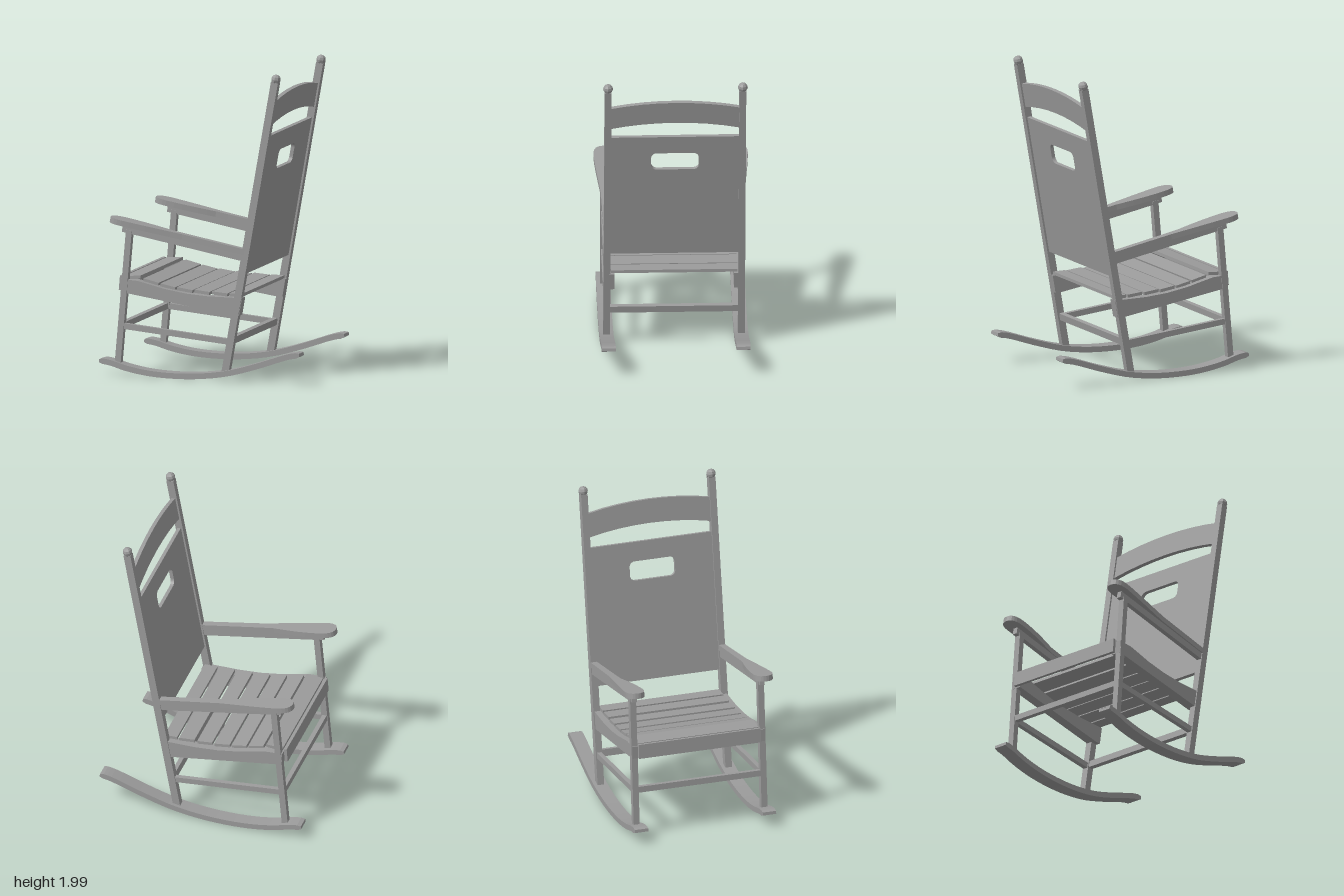
import * as THREE from 'three';

const material = new THREE.MeshStandardMaterial({ color: 0x9b9b9b, flatShading: true });

function add(parent, name, geometry) {
  const mesh = new THREE.Mesh(geometry, material);
  mesh.name = name;
  parent.add(mesh);
  return mesh;
}

const toShape = (pts) => new THREE.Shape(pts.map(([x, y]) => new THREE.Vector2(x, y)));

// Side profile in x/y, extruded to the given width and centred on z
function profile(parent, name, pts, width, z) {
  const geo = new THREE.ExtrudeGeometry(toShape(pts), { depth: width, bevelEnabled: false });
  geo.translate(0, 0, z - width / 2);
  return add(parent, name, geo);
}

// Straight bar between two x/y points, with its thickness and z width
function bar(parent, name, [x0, y0], [x1, y1], thick, width, z = 0) {
  const geo = new THREE.BoxGeometry(Math.hypot(x1 - x0, y1 - y0), thick, width);
  const mesh = add(parent, name, geo);
  mesh.position.set((x0 + x1) / 2, (y0 + y1) / 2, z);
  mesh.rotation.z = Math.atan2(y1 - y0, x1 - x0);
  return mesh;
}

// Curved runner: centre line offset to both sides
function rockerOutline() {
  const curve = new THREE.CatmullRomCurve3([
    [-0.677, 0.096], [-0.6, 0.085], [-0.5, 0.057], [-0.36, 0.033], [-0.2, 0.023], [0, 0.03],
    [0.2, 0.06], [0.4, 0.118], [0.6, 0.186], [0.677, 0.201],
  ].map(([x, y]) => new THREE.Vector3(x, y, 0)));
  const top = [], bottom = [], n = 28;
  for (let i = 0; i <= n; i++) {
    const p = curve.getPoint(i / n), t = curve.getTangent(i / n);
    const h = i === 0 || i === n ? 0.01 : 0.018;
    top.push([p.x - t.y * h, p.y + t.x * h]);
    bottom.push([p.x + t.y * h, p.y - t.x * h]);
  }
  return [...bottom, ...top.reverse()];
}

// Paddle-shaped armrest: plan outline laid flat, then sloped back
function armrest(parent, side) {
  const s = new THREE.Shape();
  s.moveTo(0.925, 0.022);
  s.lineTo(0.5, 0.028);
  s.lineTo(0.42, 0.035);
  s.bezierCurveTo(0.3, 0.047, 0.2, 0.058, 0.09, 0.063);
  s.bezierCurveTo(0.03, 0.064, 0, 0.04, 0, 0);
  s.bezierCurveTo(0, -0.04, 0.03, -0.058, 0.09, -0.06);
  s.bezierCurveTo(0.2, -0.06, 0.3, -0.045, 0.42, -0.022);
  s.lineTo(0.5, -0.02);
  s.lineTo(0.925, -0.02);
  const geo = new THREE.ExtrudeGeometry(s, { depth: 0.036, bevelEnabled: false, curveSegments: 6 });
  // Flip the plan so its wide side points outwards
  geo.rotateX(side * Math.PI / 2);
  geo.translate(0, side > 0 ? 0 : -0.036, 0);
  const mesh = add(parent, 'armrest', geo);
  mesh.position.set(-0.61, 1.028, 0.43 * side);
  mesh.rotation.z = -0.18;
}

// Board of the backrest: outline across the chair, centred on its thickness
function backBoard(parent, name, shape, thick) {
  const geo = new THREE.ExtrudeGeometry(shape, { depth: thick, bevelEnabled: false, curveSegments: 8 });
  geo.translate(0, 0, -thick / 2);
  geo.rotateY(Math.PI / 2);
  return add(parent, name, geo);
}

export function createModel() {
  const chair = new THREE.Group();
  chair.name = 'rockingChair';

  // Parts on each side
  for (const side of [1, -1]) {
    const frame = new THREE.Group();
    frame.name = side > 0 ? 'leftSideFrame' : 'rightSideFrame';
    chair.add(frame);
    const z = 0.43 * side;
    profile(frame, 'rocker', rockerOutline(), 0.09, z);
    bar(frame, 'frontPost', [-0.562, 0.06], [-0.484, 0.945], 0.04, 0.04, z);
    bar(frame, 'rearPost', [0.167, 0.06], [0.502, 1.95], 0.048, 0.044, z);
    bar(frame, 'sideStretcher', [-0.54, 0.324], [0.2, 0.257], 0.037, 0.03, z);
    bar(frame, 'armSupport', [-0.53, 0.954], [0.29, 0.806], 0.045, 0.032, z);
    armrest(frame, side);
    // Seat rail with a dished top edge
    profile(frame, 'seatRail', [
      [-0.54, 0.542], [0.22, 0.43], [0.26, 0.43], [0.28, 0.545], [0.05, 0.545], [-0.1, 0.555],
      [-0.25, 0.578], [-0.35, 0.602], [-0.43, 0.62], [-0.54, 0.625],
    ], 0.064, 0.413 * side);
    // Faceted knob on top of the post
    const knob = add(frame, 'finial', new THREE.SphereGeometry(0.032, 8, 6));
    knob.position.set(0.505, 1.968, z);
    knob.rotation.z = -0.176;
  }

  // Seat
  const seat = new THREE.Group();
  seat.name = 'seat';
  chair.add(seat);
  bar(seat, 'frontApron', [-0.557, 0.547], [-0.549, 0.641], 0.02, 0.82);
  const slats = [
    [-0.53, 0.63, -0.421, 0.638], [-0.403, 0.622, -0.301, 0.598], [-0.288, 0.595, -0.188, 0.575],
    [-0.175, 0.577, -0.071, 0.563], [-0.057, 0.567, 0.044, 0.557], [0.062, 0.562, 0.166, 0.554],
    [0.18, 0.556, 0.265, 0.556],
  ];
  for (const [x0, y0, x1, y1] of slats) bar(seat, 'seatSlat', [x0, y0], [x1, y1], 0.02, 0.81);

  // Stretchers across the chair
  bar(chair, 'frontStretcher', [-0.541, 0.306], [-0.538, 0.345], 0.03, 0.83);
  bar(chair, 'rearStretcher', [0.197, 0.243], [0.204, 0.288], 0.03, 0.83);

  // Backrest, built upright and leaned along the rear posts
  const back = new THREE.Group();
  back.name = 'backrest';
  back.position.set(0.17, 0.08, 0);
  back.rotation.z = -0.1755;
  chair.add(back);
  const up = (y) => (y - 0.08) / Math.cos(0.1755);

  // Panel with a rounded hand slot
  const panel = toShape([[-0.412, up(0.7)], [0.412, up(0.7)], [0.412, up(1.597)], [-0.412, up(1.597)]]);
  const slot = new THREE.Path();
  const a = 0.152, b = up(1.347), t = up(1.472), r = 0.035;
  slot.absarc(a - r, t - r, r, 0, Math.PI / 2);
  slot.absarc(-a + r, t - r, r, Math.PI / 2, Math.PI);
  slot.absarc(-a + r, b + r, r, Math.PI, Math.PI * 1.5);
  slot.absarc(a - r, b + r, r, Math.PI * 1.5, Math.PI * 2);
  slot.closePath();
  panel.holes.push(slot);
  backBoard(back, 'backPanel', panel, 0.024);

  // Arched head rail
  const head = new THREE.Shape();
  head.moveTo(-0.412, up(1.665));
  head.bezierCurveTo(-0.15, up(1.722), 0.15, up(1.722), 0.412, up(1.665));
  head.lineTo(0.412, up(1.82));
  head.bezierCurveTo(0.15, up(1.875), -0.15, up(1.875), -0.412, up(1.82));
  backBoard(back, 'headRail', head, 0.026);

  return chair;
}
